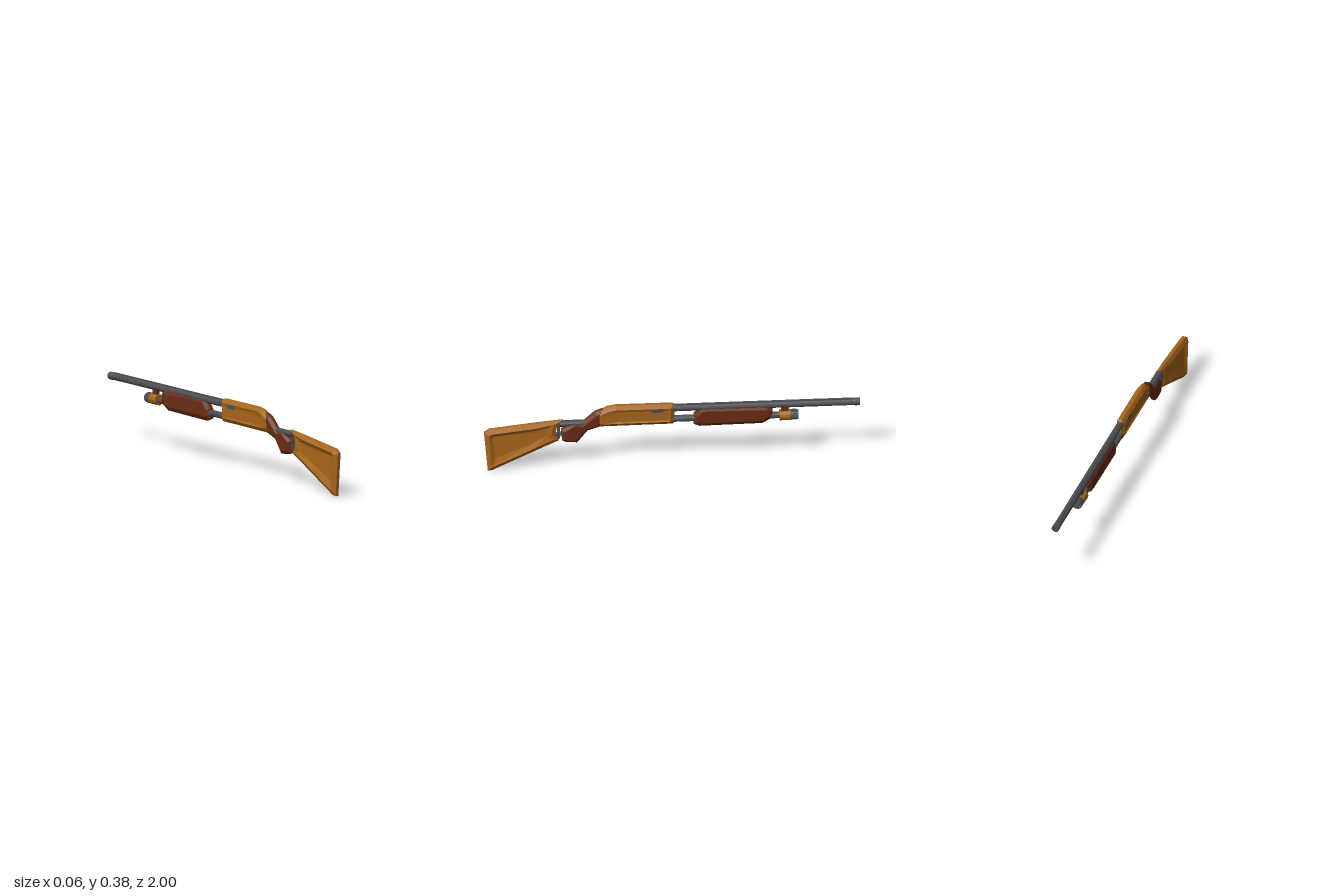
import * as THREE from 'three';

const ochre = new THREE.MeshStandardMaterial({ color: 0xa8661a, flatShading: true });
const brown = new THREE.MeshStandardMaterial({ color: 0x6b2d14, flatShading: true });
const steel = new THREE.MeshStandardMaterial({ color: 0x4c4e52, flatShading: true });
const steelOpen = new THREE.MeshStandardMaterial({ color: 0x4c4e52, flatShading: true, side: THREE.DoubleSide });

// Mitred inset of a counter-clockwise [z, y] outline
function inset(pts, d) {
  const n = pts.length;
  const normal = (a, b) => {
    const l = Math.hypot(b[0] - a[0], b[1] - a[1]);
    return [-(b[1] - a[1]) / l, (b[0] - a[0]) / l];
  };
  return pts.map((p, i) => {
    const a = normal(pts[(i + n - 1) % n], p), b = normal(p, pts[(i + 1) % n]);
    const k = d / Math.max(0.35, 1 + a[0] * b[0] + a[1] * b[1]);
    return [p[0] + (a[0] + b[0]) * k, p[1] + (a[1] + b[1]) * k];
  });
}

// Bevelled slab: rings of a counter-clockwise outline stacked across x, with optional recessed side panels
function slab(outline, { half, edge, bevel, panel, panelX, taper = () => 1 }) {
  const side = [[inset(outline, bevel), half], [outline, edge]];
  if (panel) side.unshift([panel, panelX]);
  const rings = [...side.map(([p, x]) => [p, -x]), ...side.reverse()];
  const n = outline.length, pos = [], index = [];
  for (const [p, x] of rings) for (const [z, y] of p) pos.push(x * taper(z), y, z);
  for (let k = 0; k < rings.length - 1; k++) {
    for (let i = 0; i < n; i++) {
      const a = k * n + i, b = k * n + (i + 1) % n;
      index.push(a, a + n, b, b, a + n, b + n);
    }
  }
  const cap = THREE.ShapeUtils.triangulateShape(rings[0][0].map(p => new THREE.Vector2(...p)), []);
  const last = (rings.length - 1) * n;
  for (const [a, b, c] of cap) index.push(a, b, c, last + a, last + c, last + b);
  const g = new THREE.BufferGeometry();
  g.setAttribute('position', new THREE.Float32BufferAttribute(pos, 3));
  g.setIndex(index);
  const flat = g.toNonIndexed();
  flat.computeVertexNormals();
  return flat;
}

// Round bar along z between z0 and z1
function rod(r, z0, z1, y, sides = 12) {
  return new THREE.CylinderGeometry(r, r, Math.abs(z1 - z0), sides)
    .rotateX(Math.PI / 2).translate(0, y, (z0 + z1) / 2);
}

function box(w, h, z0, z1, y) {
  return new THREE.BoxGeometry(w, h, Math.abs(z1 - z0)).translate(0, y, (z0 + z1) / 2);
}

export function createModel() {
  const group = new THREE.Group();
  const add = (name, geometry, material) => {
    const m = new THREE.Mesh(geometry, material);
    m.name = name;
    group.add(m);
  };

  // Shoulder stock with hollowed sides, narrowing to the front
  add('stock', slab(
    [[0.58, 0.3], [0.61, 0.27], [0.62, 0.215], [0.6, 0.175], [0.72, 0.12], [0.955, 0.005],
      [0.98, 0.001], [1, 0.235], [0.975, 0.255], [0.72, 0.285]],
    {
      half: 0.023, edge: 0.009, bevel: 0.022,
      panel: [[0.66, 0.25], [0.665, 0.235], [0.67, 0.22], [0.675, 0.205], [0.74, 0.165], [0.925, 0.085],
        [0.94, 0.095], [0.955, 0.2], [0.945, 0.215], [0.74, 0.24]],
      panelX: 0.011,
      taper: z => THREE.MathUtils.clamp(0.6 + (z - 0.6) * 3, 0.6, 1),
    }), ochre);

  // Steel links joining the stock to the grip
  add('upperLink', rod(0.018, 0.6, 0.46, 0.276, 10), steel);
  add('lowerLink', rod(0.011, 0.64, 0.54, 0.212, 8), steel);
  add('linkPlate', box(0.022, 0.09, 0.612, 0.596, 0.235), steel);

  // Pistol grip
  add('grip', slab(
    [[0.52, 0.288], [0.48, 0.278], [0.41, 0.345], [0.37, 0.36], [0.38, 0.256],
      [0.45, 0.232], [0.505, 0.16], [0.565, 0.165], [0.585, 0.175], [0.59, 0.24]],
    { half: 0.022, edge: 0.009, bevel: 0.016 }), brown);

  // Receiver with shallow side panels
  add('receiver', slab(
    [[0.405, 0.34], [0.345, 0.372], [0.3, 0.38], [0, 0.379], [-0.012, 0.37],
      [-0.012, 0.27], [-0.005, 0.257], [0.38, 0.255], [0.395, 0.27]],
    {
      half: 0.023, edge: 0.009, bevel: 0.02,
      panel: [[0.315, 0.325], [0.29, 0.342], [0.27, 0.345], [0.03, 0.342], [0.02, 0.338],
        [0.02, 0.29], [0.03, 0.284], [0.3, 0.284], [0.31, 0.288]],
      panelX: 0.018,
    }), ochre);
  add('ejectionPort', box(0.044, 0.024, 0.11, 0.045, 0.348), steel);

  // Barrel, turned as a tube with an open bore and a muzzle ring
  const profile = [[0.019, 0], [0.019, 0.965], [0.021, 0.975], [0.021, 0.995], [0.02, 1], [0.012, 1], [0.012, 0.8]];
  add('barrel', new THREE.LatheGeometry(profile.map(p => new THREE.Vector2(...p)), 14)
    .rotateX(-Math.PI / 2).translate(0, 0.35, 0), steelOpen);
  add('boreEnd', rod(0.0125, -0.79, -0.8, 0.35), steel);
  add('barrelRib', box(0.012, 0.008, 0, -0.965, 0.368), steel);

  // Magazine tube and its ridged end cap
  add('magazineTube', rod(0.018, 0, -0.64, 0.283), steel);
  add('magazineBand', rod(0.03, -0.572, -0.63, 0.283), ochre);
  add('magazineCap', rod(0.027, -0.628, -0.672, 0.283), steel);
  for (let i = 0; i < 8; i++) {
    add('capRidge', new THREE.BoxGeometry(0.008, 0.004, 0.03).translate(0, 0.027, 0)
      .rotateZ(i * Math.PI / 4).translate(0, 0.283, -0.65), steel);
  }
  add('barrelLug', box(0.02, 0.035, -0.582, -0.62, 0.322), brown);

  // Sliding fore-end
  add('foreEnd', slab(
    [[-0.14, 0.34], [-0.16, 0.356], [-0.51, 0.352], [-0.535, 0.325], [-0.535, 0.275],
      [-0.48, 0.242], [-0.145, 0.238], [-0.115, 0.252], [-0.115, 0.305]],
    { half: 0.025, edge: 0.011, bevel: 0.022 }), brown);

  return group;
}
